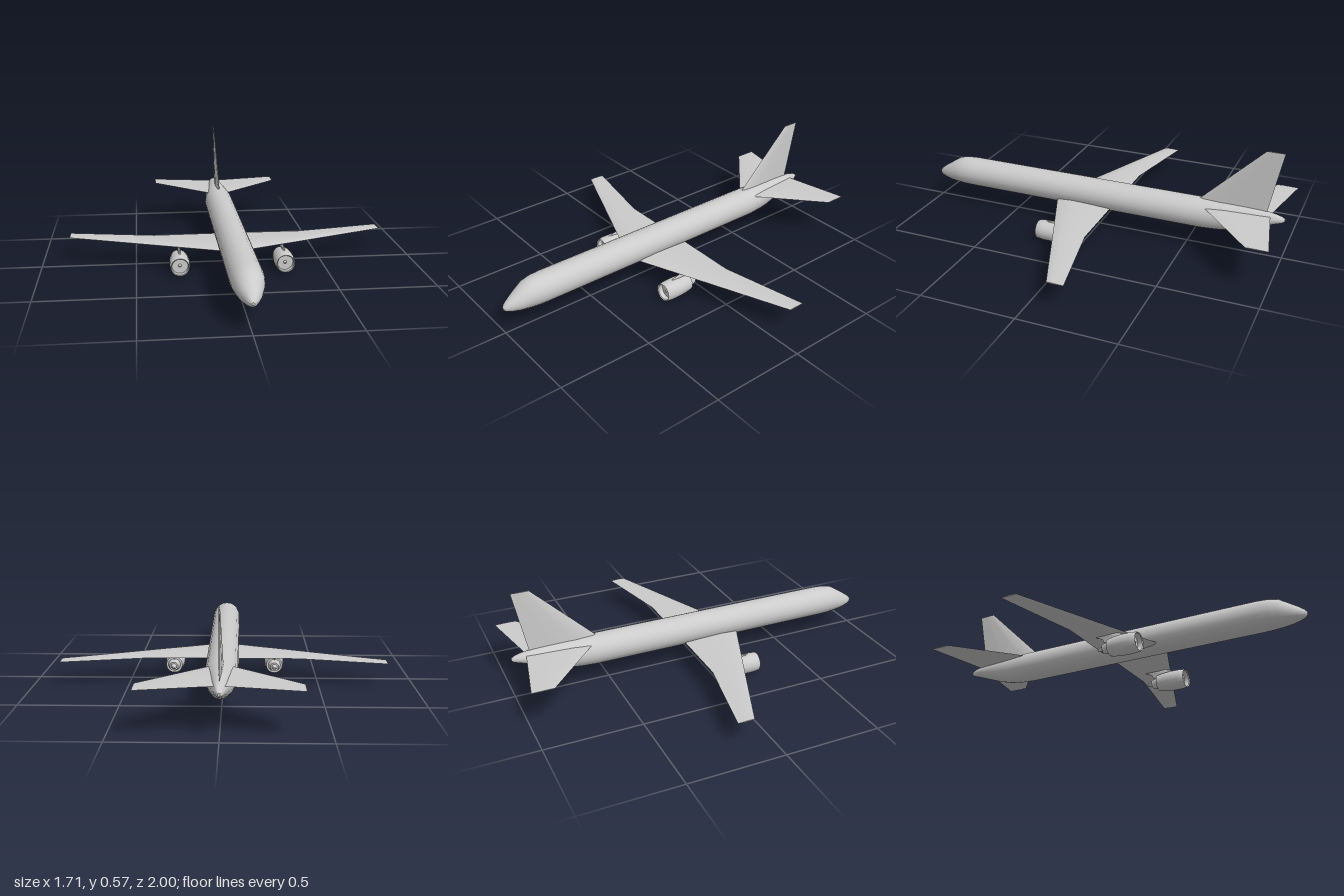
import * as THREE from 'three';
import { toCreasedNormals } from 'three/addons/utils/BufferGeometryUtils.js';

const grey = new THREE.MeshStandardMaterial({ color: 0xcccccc });
const greyOpen = new THREE.MeshStandardMaterial({ color: 0xcccccc, side: THREE.DoubleSide });

// Skin a list of equal-length rings of Vector3 and cap both ends, facing outwards.
function loft(rings, crease = 0.7) {
  const n = rings[0].length;
  const points = rings.flat();
  const tris = [];
  for (let r = 0; r < rings.length - 1; r++) {
    for (let i = 0; i < n; i++) {
      const a = r * n + i, b = r * n + (i + 1) % n;
      tris.push([a, b, b + n], [a, b + n, a + n]);
    }
  }
  const last = (rings.length - 1) * n;
  for (let i = 1; i < n - 1; i++) {
    tris.push([0, i + 1, i], [last, last + i, last + i + 1]);
  }
  // A negative enclosed volume means the faces point inwards.
  let volume = 0;
  const cross = new THREE.Vector3();
  for (const [a, b, c] of tris) volume += points[a].dot(cross.crossVectors(points[b], points[c]));
  if (volume < 0) tris.forEach((t) => t.reverse());
  const geometry = new THREE.BufferGeometry().setFromPoints(points);
  geometry.setIndex(tris.flat());
  geometry.computeVertexNormals();
  return toCreasedNormals(geometry, crease);
}

function addMesh(parent, name, geometry, material = grey) {
  const mesh = new THREE.Mesh(geometry, material);
  mesh.name = name;
  parent.add(mesh);
  return mesh;
}

// Thin streamlined section: [fraction of chord, thickness factor]
const FOIL = [[0, 0], [0.05, 0.5], [0.3, 1], [0.65, 0.65], [1, 0.05],
  [0.65, -0.65], [0.3, -1], [0.05, -0.5]];

// place(t, z) turns a thickness offset and a z position into a point.
function foilRing(front, back, half, place) {
  return FOIL.map(([f, t]) => place(t * half, front + (back - front) * f));
}

// Flat surface spanning along x: stations are [x, y, front z, back z, half thickness]
const spanSurface = (side, stations) => loft(stations.map(([x, y, f, b, h]) =>
  foilRing(f, b, h, (t, z) => new THREE.Vector3(side * x, y + t, z))));

function createFuselage() {
  // [z, half width, bottom y, top y]
  const stations = [
    [1, 0.006, 0.139, 0.153], [0.988, 0.02, 0.127, 0.167], [0.96, 0.035, 0.117, 0.188],
    [0.92, 0.053, 0.109, 0.214], [0.87, 0.069, 0.104, 0.246], [0.82, 0.078, 0.101, 0.257],
    [0.76, 0.081, 0.1, 0.26], [-0.58, 0.081, 0.1, 0.26], [-0.66, 0.073, 0.103, 0.26],
    [-0.72, 0.065, 0.11, 0.259], [-0.8, 0.052, 0.131, 0.256], [-0.88, 0.039, 0.16, 0.25],
    [-0.95, 0.026, 0.186, 0.24], [-0.985, 0.016, 0.197, 0.231], [-1, 0.006, 0.206, 0.222],
  ];
  return loft(stations.map(([z, w, low, high]) => Array.from({ length: 20 }, (_, i) => {
    const a = (i / 20) * Math.PI * 2;
    return new THREE.Vector3(w * Math.cos(a), (low + high) / 2 + (high - low) / 2 * Math.sin(a), z);
  })));
}

// Revolve [radius, z] points about the engine axis.
function revolve(profile) {
  const geometry = new THREE.LatheGeometry(profile.map(([r, z]) => new THREE.Vector2(r, z)), 20);
  return toCreasedNormals(geometry.rotateX(Math.PI / 2), 0.6);
}

function createEngine(side) {
  const engine = new THREE.Group();
  engine.name = side > 0 ? 'leftEngine' : 'rightEngine';
  engine.position.set(side * 0.275, 0.053, 0);
  // Outer cowl with intake lip and recessed fan face
  addMesh(engine, 'nacelle', revolve([
    [0.032, 0.073], [0.044, 0.073], [0.05, 0.11], [0.053, 0.15], [0.053, 0.2],
    [0.05, 0.229], [0.047, 0.235], [0.043, 0.23], [0.042, 0.205],
  ]), greyOpen);
  addMesh(engine, 'fanFace', revolve([[0.042, 0.205], [0.009, 0.205], [0, 0.222]]), greyOpen);
  // Core nozzle and exhaust cone
  addMesh(engine, 'exhaust', revolve([
    [0, 0.002], [0.005, 0.004], [0.015, 0.036], [0.023, 0.036], [0.034, 0.075],
  ]), greyOpen);
  // Strut reaching up into the wing: [y, front z, back z]
  const strut = [[0.035, 0.17, 0.035], [0.052, 0.19, 0.03], [0.066, 0.13, 0], [0.078, 0.1, -0.02]];
  addMesh(engine, 'pylon', loft(strut.map(([y, f, b]) =>
    foilRing(f, b, 0.007, (t, z) => new THREE.Vector3(t, y, z)))));
  return engine;
}

export function createModel() {
  const plane = new THREE.Group();
  plane.name = 'airliner';
  addMesh(plane, 'fuselage', createFuselage());

  for (const side of [1, -1]) {
    const label = side > 0 ? 'left' : 'right';
    // Swept wing with a kink in the trailing edge
    addMesh(plane, label + 'Wing', spanSurface(side, [
      [0, 0.132, 0.25, -0.085, 0.014], [0.08, 0.132, 0.218, -0.085, 0.013],
      [0.4, 0.131, 0.09, -0.085, 0.008], [0.855, 0.13, -0.09, -0.177, 0.003],
    ]));
    addMesh(plane, label + 'Tailplane', spanSurface(side, [
      [0, 0.23, -0.55, -0.925, 0.006], [0.07, 0.23, -0.612, -0.938, 0.005],
      [0.373, 0.23, -0.885, -0.997, 0.002],
    ]));
    plane.add(createEngine(side));
  }

  // Upright fin: [y, front z, back z, half thickness]
  const fin = [[0.235, -0.535, -0.905, 0.013], [0.26, -0.56, -0.91, 0.012], [0.57, -0.88, -0.972, 0.003]];
  addMesh(plane, 'tailFin', loft(fin.map(([y, f, b, h]) =>
    foilRing(f, b, h, (t, z) => new THREE.Vector3(t, y, z)))));
  return plane;
}
